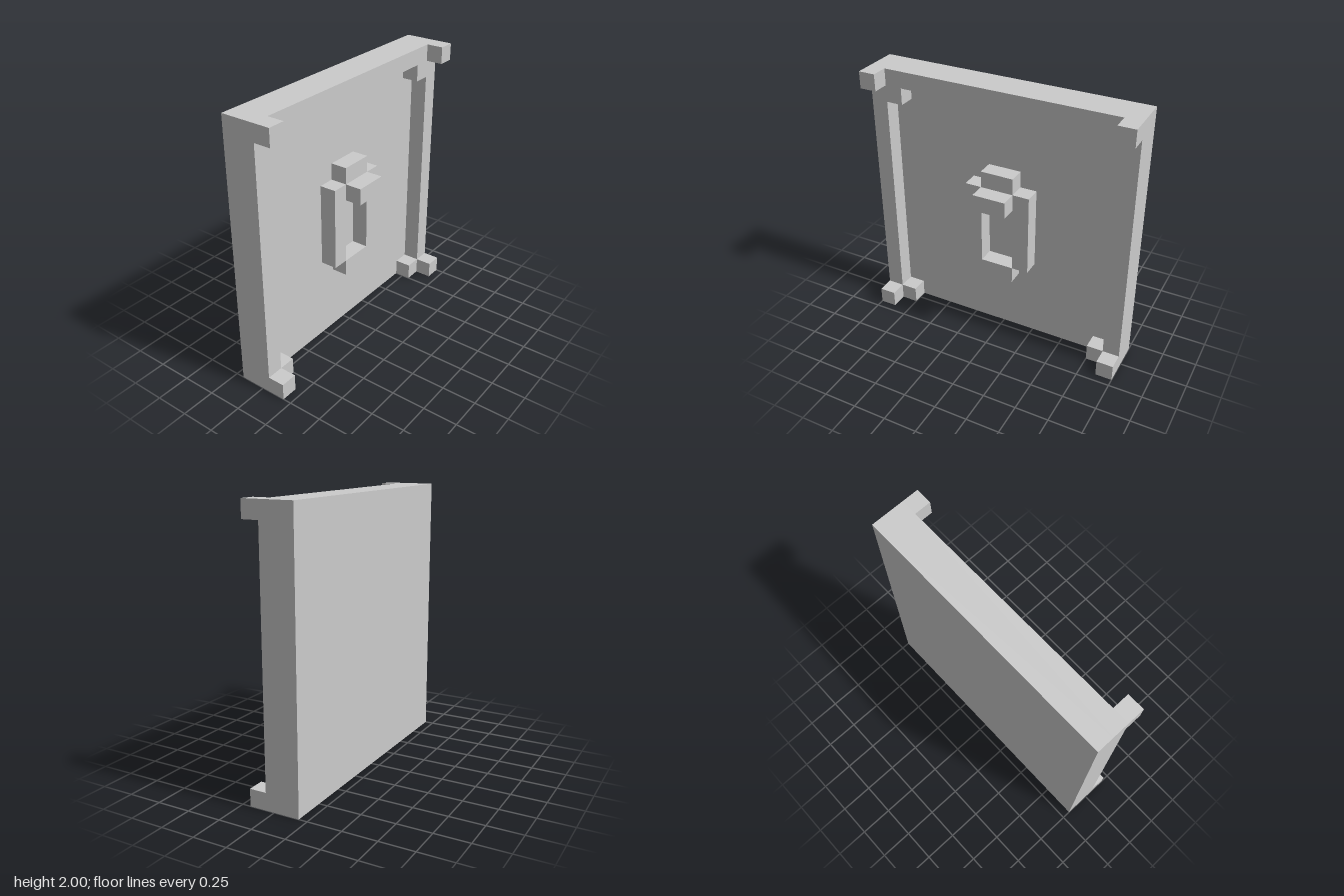
import * as THREE from 'three';

// Everything sits on a grid of cubes, U wide
const U = 0.125;
const BACK = -1.5 * U, MIDDLE = -0.5 * U, FRONT = 0.5 * U;

export function createModel() {
  const group = new THREE.Group();
  const material = new THREE.MeshStandardMaterial({ color: 0xcccccc, flatShading: true });

  const add = (name, geometry) => {
    const mesh = new THREE.Mesh(geometry, material);
    mesh.name = name;
    group.add(mesh);
  };

  // Box one layer deep; x, y are its lower corner in grid units
  const block = (name, x, y, w, h, z) => {
    const geometry = new THREE.BoxGeometry(w * U, h * U, U);
    geometry.translate((x + w / 2) * U, (y + h / 2) * U, z + U / 2);
    add(name, geometry);
  };

  // Right half of an outline in grid units, mirrored to a closed loop
  const mirrored = (half) =>
    [...half, ...half.map(([x, y]) => [-x, y]).reverse()]
      .map(([x, y]) => new THREE.Vector2(x * U, y * U));

  // Outline extruded one layer deep
  const plate = (name, shape, z) => {
    const geometry = new THREE.ExtrudeGeometry(shape, { depth: U, bevelEnabled: false });
    geometry.translate(0, 0, z);
    add(name, geometry);
  };

  // Back panel
  block('panel', -8, 0, 16, 16, BACK);

  // Frame open at the bottom, with a stepped block in each inner corner
  plate('frame', new THREE.Shape(mirrored([
    [6, 15], [6, 14], [7, 14], [7, 1], [6, 1], [6, 0], [8, 0], [8, 16],
  ])), MIDDLE);

  // Corner studs
  for (const x of [-8, 7]) {
    for (const y of [0, 15]) block('cornerStud', x, y, 1, 1, FRONT);
  }

  // Handle ring with clipped corners
  const ring = new THREE.Shape(mirrored([[1, 4], [1, 5], [2, 5], [2, 10], [1, 10], [1, 11]]));
  ring.holes.push(new THREE.Path(mirrored([[1, 5], [1, 9]])));
  plate('handleRing', ring, MIDDLE);

  // Lip standing out from the top of the handle
  block('handleLip', -1, 9, 2, 1, FRONT);

  return group;
}
